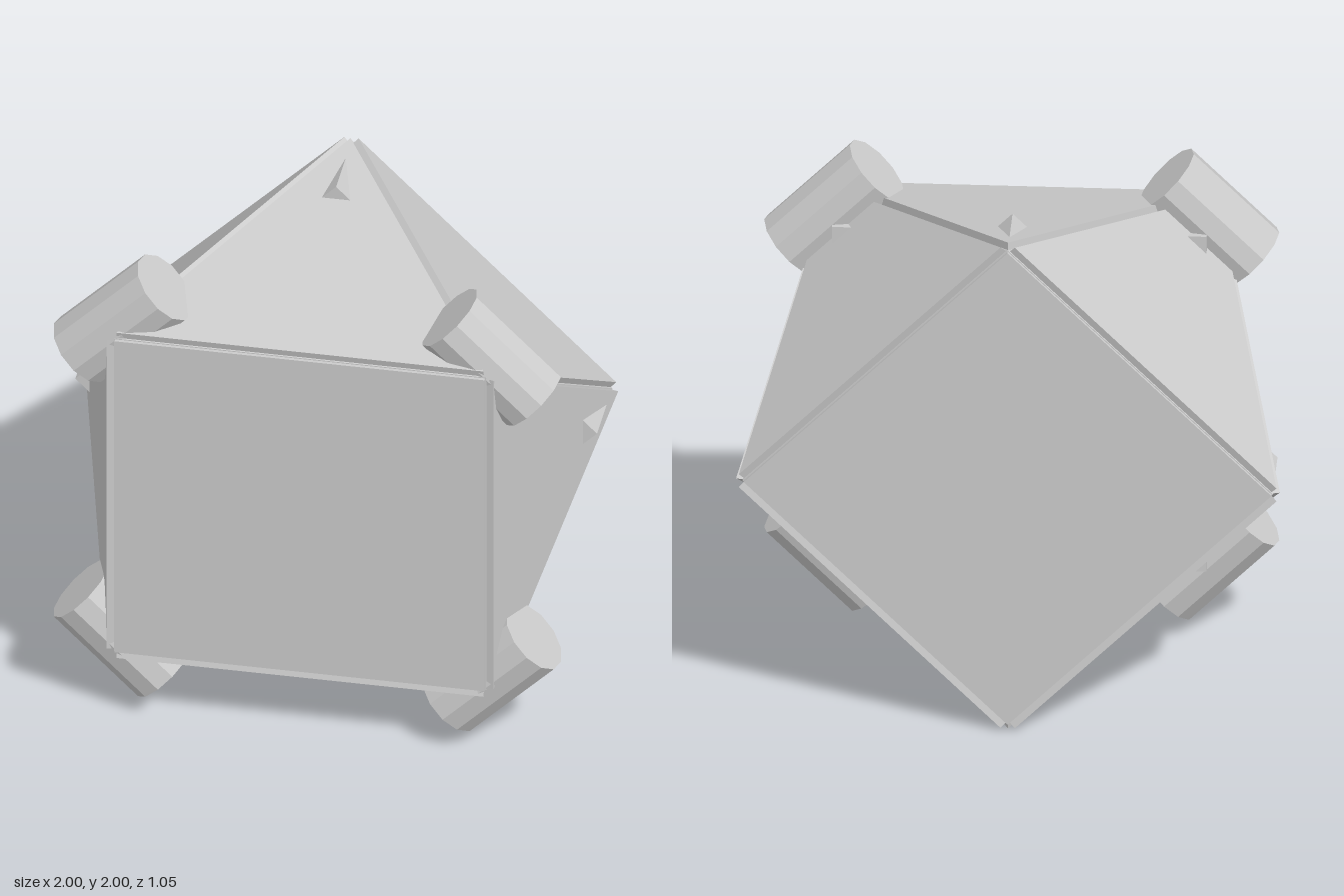
import * as THREE from 'three';
import { ConvexGeometry } from 'three/addons/geometries/ConvexGeometry.js';

const V = (x, y, z) => new THREE.Vector3(x, y, z);

export function createModel() {
  const model = new THREE.Group();
  model.name = 'antiprismHull';
  const mat = new THREE.MeshStandardMaterial({ color: 0xcccccc, flatShading: true });

  const add = (name, geometry, parent = model) => {
    const mesh = new THREE.Mesh(geometry, mat);
    mesh.name = name;
    parent.add(mesh);
    return mesh;
  };

  // Corners of the two squares: front axis-aligned, back turned 45 degrees
  const H = 0.51, A = 0.695, R = 0.976;
  const front = [], back = [];
  for (let i = 0; i < 4; i++) {
    const f = Math.PI / 4 + i * Math.PI / 2, b = i * Math.PI / 2;
    front.push(V(Math.cos(f) * A * Math.SQRT2, Math.sin(f) * A * Math.SQRT2, H));
    back.push(V(Math.cos(b) * R, Math.sin(b) * R, -H));
  }

  // Flat slab standing on a face of the core, slightly shrunk about its incentre
  function plate(name, corners, thickness, shrink) {
    const [a, b, c] = corners;
    const normal = b.clone().sub(a).cross(c.clone().sub(a)).normalize();
    if (normal.dot(a) < 0) normal.negate();
    const centre = V(0, 0, 0);
    let total = 0;
    corners.forEach((p, i) => {
      const n = corners.length;
      const w = n === 3 ? corners[(i + 1) % 3].distanceTo(corners[(i + 2) % 3]) : 1;
      centre.addScaledVector(p, w);
      total += w;
    });
    centre.divideScalar(total);
    const inner = corners.map(p => p.clone().lerp(centre, shrink));
    const outer = inner.map(p => p.clone().addScaledVector(normal, thickness));
    add(name, new ConvexGeometry([...inner, ...outer]));
  }

  // Core and its ten plates
  add('core', new ConvexGeometry([...front, ...back]));
  plate('frontPlate', front, 0.013, 0.005);
  plate('backPlate', back, 0.013, 0.005);
  for (let i = 0; i < 4; i++) {
    plate('sidePlate' + i, [front[(i + 3) % 4], front[i], back[i]], 0.028, 0.013);
    plate('cornerPlate' + i, [front[i], back[i], back[(i + 1) % 4]], 0.028, 0.013);
  }

  // Ridged lugs, one half sunk into each triangular plate
  const lug = new THREE.CylinderGeometry(0.055, 0.055, 0.205, 4);
  lug.rotateX(Math.PI / 2);
  // Drums lying across the front corners
  const drum = new THREE.CylinderGeometry(0.143, 0.143, 0.445, 12);

  for (let i = 0; i < 8; i++) {
    const spoke = new THREE.Group();
    spoke.name = 'spoke' + i;
    spoke.rotation.z = i * Math.PI / 4;
    model.add(spoke);
    const corner = i % 2 === 1;
    add('lug', lug, spoke).position.set(0.92, 0, corner ? 0.31 : -0.31);
    if (corner) add('cornerDrum', drum, spoke).position.set(0.975, 0, 0.367);
  }

  model.position.y = 1;
  const root = new THREE.Group();
  root.name = 'model';
  root.add(model);
  return root;
}
